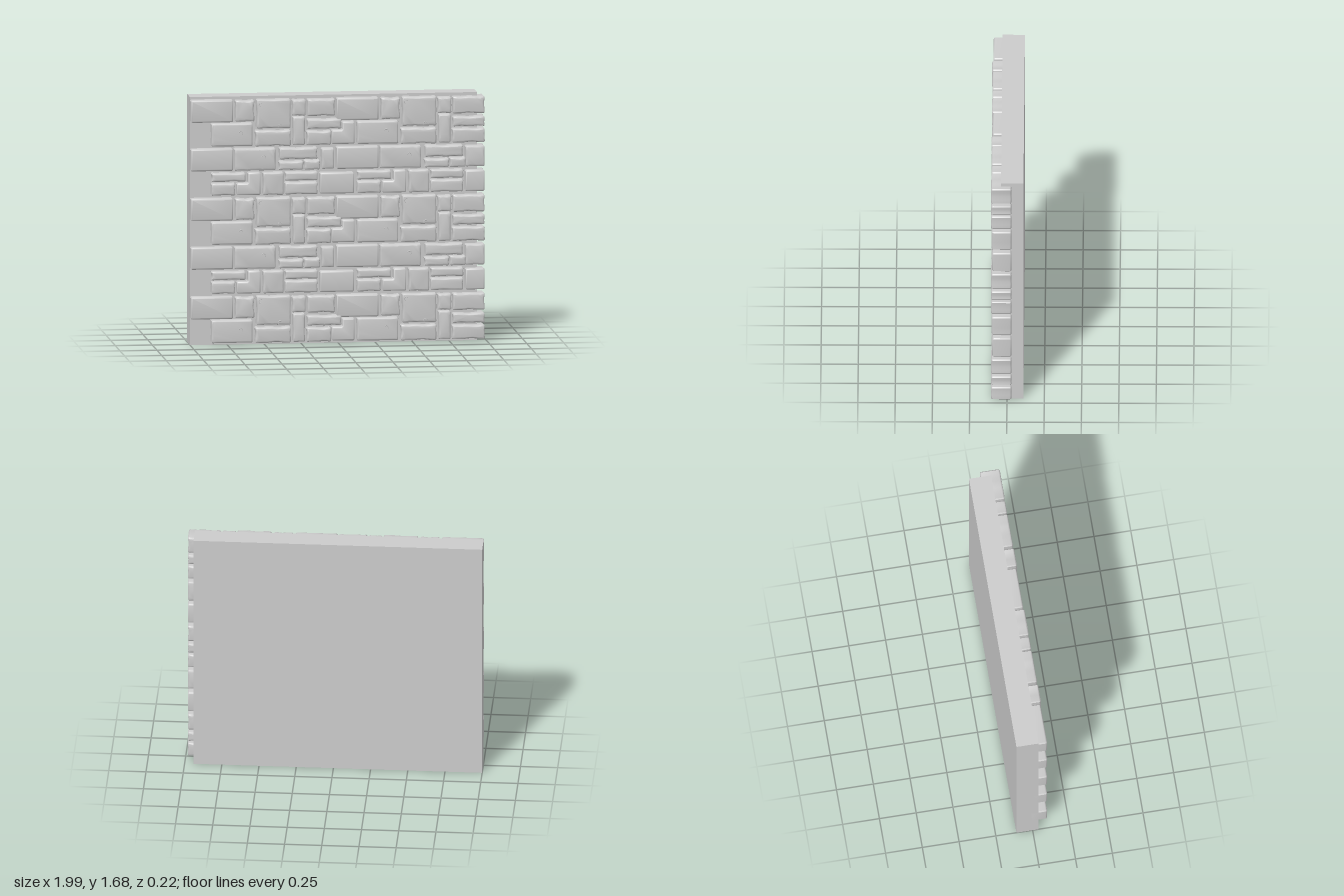
import * as THREE from 'three';
import { toCreasedNormals } from 'three/addons/utils/BufferGeometryUtils.js';

const stone = new THREE.MeshStandardMaterial({ color: 0xcccccc });
const BACK = -0.03, BEVEL = 0.012;
const TILE = 0.984, BAND = 0.333;

// Bricks as [left, right, bottom, top, roughness]; heights are measured in each band.
const bandA = [
  [-1, -0.716, 0.18, 0.332, 0], [-0.70, -0.572, 0.185, 0.328, 1], [-0.556, -0.326, 0.135, 0.332, 0.6],
  [-0.316, -0.225, 0.217, 0.326, 0.6], [-0.214, -0.027, 0.213, 0.328, 0.8],
  [-0.861, -0.583, 0.017, 0.172, 0.2], [-0.567, -0.326, 0.014, 0.121, 1], [-0.31, -0.23, 0.017, 0.21, 0.3],
  [-0.214, 0.016, 0.126, 0.193, 0.8], [-0.219, -0.053, 0.016, 0.112, 0.9],
];
const bandB = [
  [-1, -0.716, 0.184, 0.334, 0], [-0.706, -0.428, 0.184, 0.334, 0.3], [-0.401, -0.146, 0.256, 0.334, 0.8],
  [-0.406, -0.241, 0.184, 0.243, 0.7], [-0.235, -0.128, 0.184, 0.249, 0.7], [-0.118, -0.032, 0.186, 0.326, 0.3],
  [-0.861, -0.631, 0.111, 0.17, 0.7], [-0.861, -0.701, 0.018, 0.1, 0.7],
  [-0.513, -0.374, 0.016, 0.17, 0.5], [-0.364, -0.144, 0.111, 0.17, 0.6],
  [-0.364, -0.144, 0.018, 0.1, 0.6], [-0.128, 0.102, 0.018, 0.16, 0],
];
// Stepped bricks as [left, right, bottom, top, notch x, notch y]
const stepA = [-0.048, 0.107, 0.02, 0.172, 0.022, 0.115];
const stepB = [-0.69, -0.529, 0.018, 0.17, -0.615, 0.098];

// Subdivide an outline, soften its corners and wear its edges
function wornOutline(corners, rough, seed) {
  const points = [];
  corners.forEach(([x, y], i) => {
    const [nx, ny] = corners[(i + 1) % corners.length];
    const length = Math.hypot(nx - x, ny - y);
    const dx = (nx - x) / length, dy = (ny - y) / length;
    const round = 0.007;
    const steps = rough ? Math.max(3, Math.round(length / 0.028)) : 1;
    for (let k = 0; k <= steps; k++) {
      const d = round + (length - 2 * round) * k / steps;
      const inset = rough * 0.0035 * (1 + Math.sin(d * 45 + seed * 2.3 + i * 1.7)) * Math.sin(Math.PI * k / steps);
      points.push(new THREE.Vector2(x + dx * d - dy * inset, y + dy * d + dx * inset));
    }
  });
  return new THREE.Shape(points);
}

function brick(corners, rough, seed, name) {
  const front = 0.1 + 0.008 * rough;
  const geometry = new THREE.ExtrudeGeometry(wornOutline(corners, rough, seed), {
    depth: front - BACK - 2 * BEVEL, bevelEnabled: true, bevelThickness: BEVEL,
    bevelSize: BEVEL, bevelOffset: -BEVEL, bevelSegments: 3, curveSegments: 1,
  });
  geometry.translate(0, 0, BACK + BEVEL);
  const mesh = new THREE.Mesh(toCreasedNormals(geometry, 0.7), stone);
  mesh.name = name;
  return mesh;
}

// Small curved scar on a brick face
function scar(x, y, z, turn) {
  const mesh = new THREE.Mesh(new THREE.TorusGeometry(0.013, 0.003, 5, 10, 3.8), stone);
  mesh.position.set(x, y, z);
  mesh.rotation.z = turn;
  mesh.name = 'scar';
  return mesh;
}

export function createModel() {
  const wall = new THREE.Group();
  wall.name = 'brickWall';

  const slab = new THREE.Mesh(new THREE.BoxGeometry(1.94, 1.68, 0.15), stone);
  slab.position.set(-0.03, 0.84, -0.035);
  slab.name = 'backingSlab';
  wall.add(slab);

  // Five alternating bands, each repeated twice across the wall
  for (let band = 0; band < 5; band++) {
    const odd = band % 2 === 1;
    const course = new THREE.Group();
    course.name = odd ? 'smallBrickBand' : 'largeBrickBand';
    course.position.y = band * BAND;
    for (let tile = 0; tile < 2; tile++) {
      const shift = tile * TILE;
      (odd ? bandB : bandA).forEach(([l, r, b, t, rough], i) => {
        let left = l + shift, right = r + shift;
        // Bricks at the open end are cut to a common line
        if (right > 0.92) {
          right = 0.985;
          if (odd && i === 5) left = 0.855;
        }
        course.add(brick([[left, b], [right, b], [right, t], [left, t]], rough, i, 'brick'));
      });
      if (odd || tile === 0) {
        const [l, r, b, t, nx, ny] = odd ? stepB : stepA;
        const corners = [[l, b], [r, b], [r, t], [nx, t], [nx, ny], [l, ny]];
        course.add(brick(corners.map(([x, y]) => [x + shift, y]), 0, 0, 'steppedBrick'));
      }
      if (odd) course.add(scar(-0.51 + shift, 0.275, 0.1015, -0.8));
      else {
        course.add(scar(-0.665 + shift, 0.105, 0.1, -0.8));
        course.add(scar(-0.53 + shift, 0.298, 0.1035, 0.8));
        course.add(scar(-0.40 + shift, 0.15, 0.1035, 0));
      }
    }
    wall.add(course);
  }
  return wall;
}
